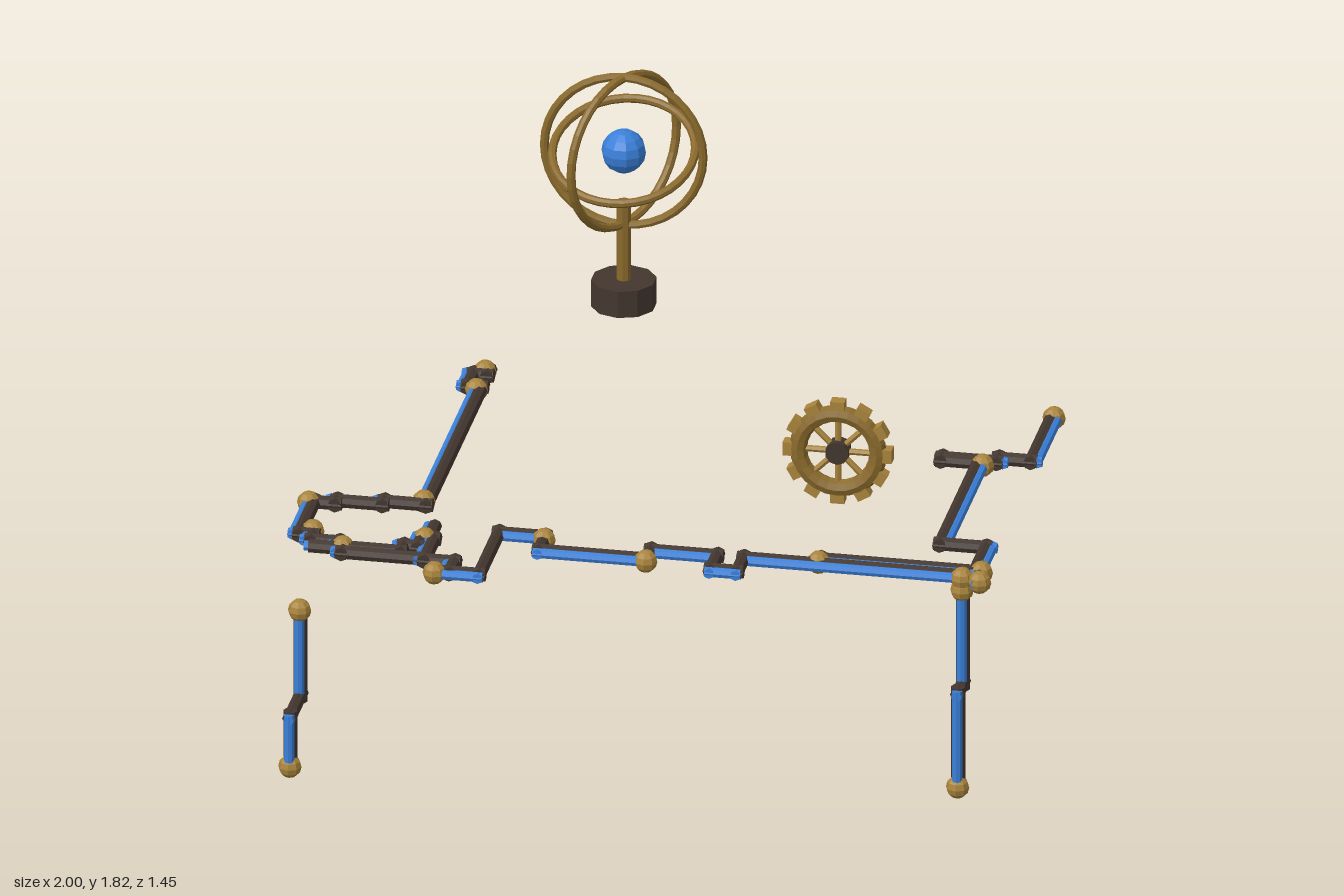
import * as THREE from 'three';

const mat = (name, color) => {
  const m = new THREE.MeshStandardMaterial({ color, flatShading: true });
  m.name = name;
  return m;
};

export function createModel() {
  const model = new THREE.Group();
  const iron = mat('dark iron', 0x43362f);
  const blue = mat('glowing blue', 0x3a80d9);
  const brass = mat('brass', 0xa8843c);
  const bronze = mat('bronze', 0x8a6a2c);
  const Y = 0.645;

  const add = (parent, name, geo, material, x = 0, y = 0, z = 0) => {
    const m = new THREE.Mesh(geo, material);
    m.name = name;
    m.position.set(x, y, z);
    parent.add(m);
    return m;
  };

  // One straight rod, lengthened a little so that corners close
  const rod = (parent, name, a, b, r, material) => {
    const d = b.clone().sub(a);
    const m = add(parent, name, new THREE.CylinderGeometry(r, r, d.length() + r * 1.8, 8), material);
    m.position.copy(a).add(b).multiplyScalar(0.5);
    m.quaternion.setFromUnitVectors(new THREE.Vector3(0, 1, 0), d.normalize());
  };

  // Dark pipe with a thinner blue line along its outer side
  const pipe = (name, points, nx, nz) => {
    const g = new THREE.Group();
    g.name = name;
    const out = new THREE.Vector3(nx, 0, nz);
    const p = points.map((q) => new THREE.Vector3(...q));
    for (let i = 0; i + 1 < p.length; i++) {
      for (const [part, r, off, m] of [['pipe', 0.02, -0.007, iron], ['blueLine', 0.015, 0.011, blue]]) {
        rod(g, part, p[i].clone().addScaledVector(out, off), p[i + 1].clone().addScaledVector(out, off), r, m);
      }
    }
    model.add(g);
  };
  const flat = (name, pts, nx, nz) => pipe(name, pts.map(([x, z]) => [x, Y, z]), nx, nz);

  // Side pipes
  flat('backLeftPipe', [[-0.65, -0.695], [-0.65, -0.67], [-0.69, -0.67], [-0.69, -0.59], [-0.65, -0.59], [-0.65, -0.57]], -1, 0);
  flat('leftSidePipe', [[-0.65, -0.57], [-0.65, 0.21], [-0.77, 0.21], [-0.77, 0.23], [-0.9, 0.23], [-0.9, 0.25], [-0.96, 0.25]], -1, 0);
  flat('leftCornerPipe', [[-0.96, 0.25], [-0.96, 0.465], [-0.92, 0.465], [-0.92, 0.44]], -1, 0);
  flat('rightSidePipe', [[0.945, 0.355], [0.945, 0.19], [0.815, 0.19], [0.815, -0.35]], 1, 0);
  flat('backRightPipe', [[0.815, -0.36], [0.71, -0.36], [0.71, -0.375], [0.865, -0.375], [0.865, -0.4], [0.957, -0.4], [0.957, -0.695]], 1, 0);

  // Tangled pipes near the left corner
  flat('tangleUpperPipe', [[-0.92, 0.44], [-0.92, 0.5], [-0.84, 0.5], [-0.84, 0.53], [-0.82, 0.53]], -1, 0);
  flat('tangleMiddlePipe', [[-0.82, 0.53], [-0.66, 0.53], [-0.66, 0.49], [-0.62, 0.49], [-0.62, 0.43]], -1, 0);
  flat('tangleLowerPipe', [[-0.9, 0.54], [-0.82, 0.54], [-0.82, 0.565], [-0.6, 0.565]], -1, 0);
  flat('tangleSpur', [[-0.6, 0.36], [-0.6, 0.43], [-0.585, 0.43], [-0.585, 0.57], [-0.5, 0.57], [-0.5, 0.64], [-0.535, 0.64]], -1, 0);

  // Stepped front pipe
  flat('frontPipe', [[-0.535, 0.645], [-0.41, 0.645], [-0.41, 0.362], [-0.278, 0.362], [-0.278, 0.455], [0.027, 0.455],
    [0.027, 0.395], [0.215, 0.395], [0.215, 0.487], [0.29, 0.487], [0.29, 0.395], [0.91, 0.395]], 0, 1);
  flat('frontInnerPipe', [[0.5, 0.375], [0.5, 0.36], [0.957, 0.36], [0.957, 0.42]], 0, 1);

  // Upright pipes
  pipe('rightLeg', [[0.912, Y, 0.4], [0.912, 0.32, 0.4], [0.912, 0.32, 0.465], [0.912, 0.035, 0.465]], 0, 1);
  pipe('leftLeg', [[-0.936, 0.45, 0.545], [-0.936, 0.185, 0.545], [-0.936, 0.185, 0.69], [-0.936, 0.035, 0.69]], 0, 1);

  // Brass joints
  const joints = [[-0.655, -0.695], [-0.655, -0.57], [-0.655, 0.187], [-0.968, 0.257], [-0.92, 0.44], [-0.818, 0.53],
    [-0.604, 0.433], [-0.535, 0.65], [-0.278, 0.374], [0.027, 0.46], [0.5, 0.375], [0.823, -0.347],
    [0.957, -0.695], [0.957, 0.355], [0.965, 0.42], [0.912, 0.405]].map(([x, z]) => [x, Y, z]);
  joints.push([0.912, 0.61, 0.405], [0.912, 0.036, 0.468], [-0.936, 0.45, 0.55], [-0.936, 0.036, 0.69]);
  const ball = new THREE.SphereGeometry(0.033, 8, 6);
  for (const [x, y, z] of joints) add(model, 'joint', ball, brass, x, y, z);

  // Ringed globe on its post
  const globe = new THREE.Group();
  globe.name = 'ringedGlobe';
  globe.position.set(-0.165, 1.585, -0.2);
  add(globe, 'core', new THREE.SphereGeometry(0.063, 10, 8), blue);
  const ring = (name, r, rx, ry) => {
    add(globe, name, new THREE.TorusGeometry(r, 0.0125, 8, 36), bronze).rotation.set(rx, ry, 0);
  };
  ring('facingRing', 0.225, 0, 0);
  ring('turnedRing', 0.223, 0, Math.PI / 3);
  ring('tiltedRing', 0.2, 1.97, 0);
  add(globe, 'post', new THREE.CylinderGeometry(0.021, 0.021, 0.24, 8), bronze, 0, -0.272, 0);
  add(globe, 'base', new THREE.CylinderGeometry(0.092, 0.092, 0.08, 10), iron, 0, -0.43, 0);
  model.add(globe);

  // Cogwheel
  const gear = new THREE.Group();
  gear.name = 'cogwheel';
  gear.position.set(0.553, 0.985, 0.362);
  add(gear, 'rim', new THREE.TorusGeometry(0.113, 0.025, 8, 24), bronze);
  for (let i = 0; i < 12; i++) {
    const a = (i / 12) * Math.PI * 2;
    const tooth = add(gear, 'tooth', new THREE.BoxGeometry(0.035, 0.04, 0.036), brass, Math.cos(a) * 0.137, Math.sin(a) * 0.137, 0);
    tooth.rotation.z = a;
  }
  for (let i = 0; i < 4; i++) {
    add(gear, 'spoke', new THREE.CylinderGeometry(0.009, 0.009, 0.2, 6), brass).rotation.z = (i * Math.PI) / 4;
  }
  add(gear, 'hub', new THREE.CylinderGeometry(0.034, 0.034, 0.045, 10), iron).rotation.x = Math.PI / 2;
  model.add(gear);

  return model;
}
